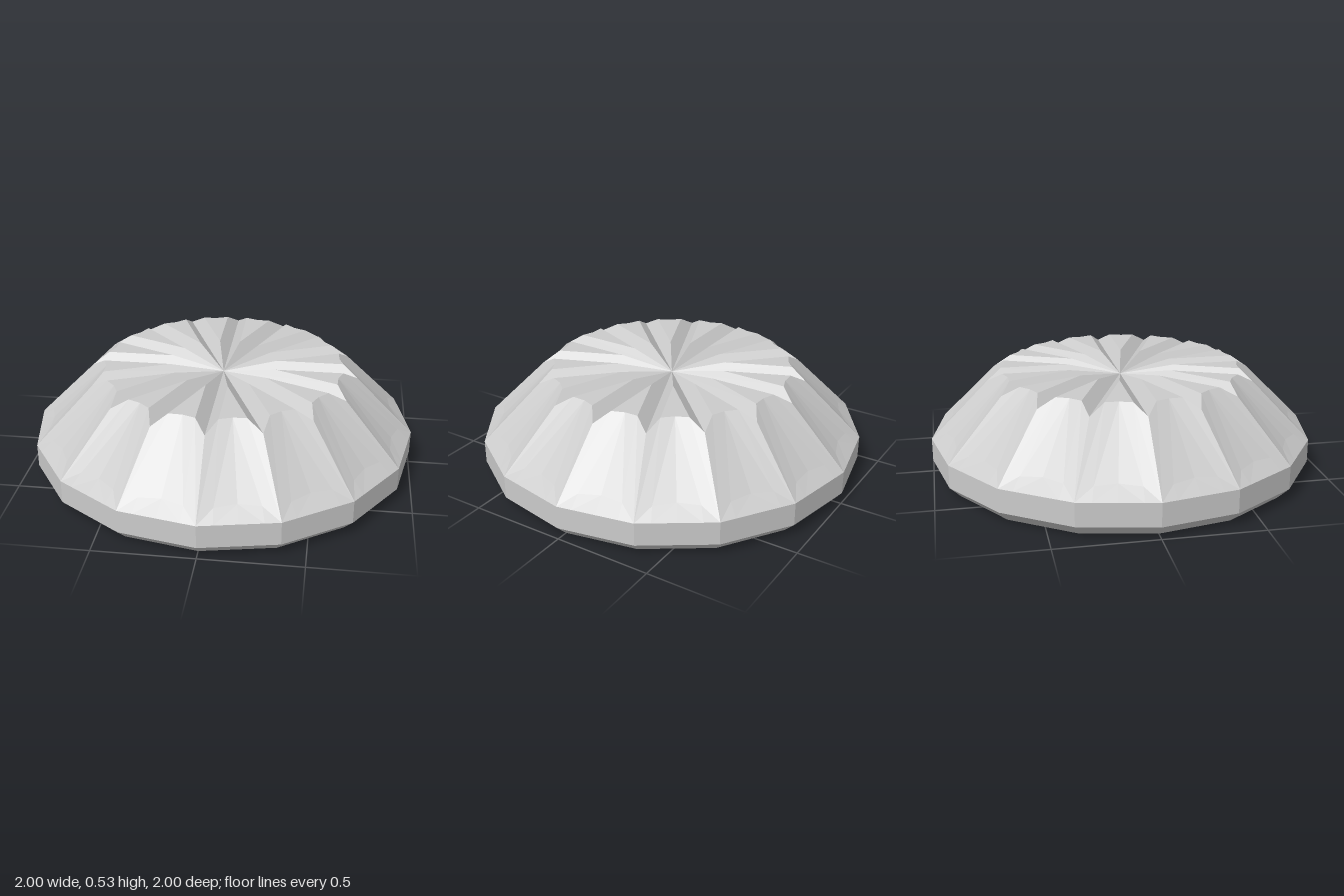
import * as THREE from 'three';

const SIDES = 16;
const HALF = Math.PI / SIDES;
const RIM_Y = 0.18, GROOVE_Y = 0.48, TOP_Y = 0.53;
const GROOVE_HALF_WIDTH = 0.055;

// Sector frame: x points outward through the middle of a side, the groove lies at angle HALF.
// r runs along the groove, w is the distance from it towards the middle of the side.
const fromGroove = (r, w, y) => new THREE.Vector3(
  r * Math.cos(HALF) + w * Math.sin(HALF), y, r * Math.sin(HALF) - w * Math.cos(HALF));
const point = (x, y, z) => new THREE.Vector3(x, y, z);

// Repeats the polygons of half a sector, mirrored and turned, around the whole disc
function radialGeometry(polygons) {
  const positions = [];
  const normal = new THREE.Vector3();
  const up = new THREE.Vector3(0, 1, 0);
  for (let i = 0; i < SIDES; i++) {
    for (const mirror of [1, -1]) {
      for (const polygon of polygons) {
        const p = polygon.map(v => point(v.x, v.y, v.z * mirror).applyAxisAngle(up, (2 * i + 1) * HALF));
        for (let k = 1; k < p.length - 1; k++) {
          const tri = [p[0], p[k], p[k + 1]];
          // every upper face looks upward
          new THREE.Triangle(...tri).getNormal(normal);
          if (normal.y < 0) tri.reverse();
          tri.forEach(v => positions.push(v.x, v.y, v.z));
        }
      }
    }
  }
  const geometry = new THREE.BufferGeometry();
  geometry.setAttribute('position', new THREE.Float32BufferAttribute(positions, 3));
  geometry.computeVertexNormals();
  return geometry;
}

export function createModel() {
  const group = new THREE.Group();
  const material = new THREE.MeshStandardMaterial({ color: 0xcccccc, flatShading: true });
  const add = (name, geometry, y = 0) => {
    const mesh = new THREE.Mesh(geometry, material);
    mesh.name = name;
    mesh.position.y = y;
    group.add(mesh);
  };

  // Bottom plate, chamfer and upright rim
  add('bottomPlate', new THREE.CircleGeometry(0.94, SIDES).rotateX(Math.PI / 2));
  add('bottomChamfer', new THREE.CylinderGeometry(1, 0.94, 0.06, SIDES, 1, true), 0.03);
  add('rim', new THREE.CylinderGeometry(1, 1, 0.12, SIDES, 1, true), 0.12);

  // Corners shared by the groove walls, wedge tops and sloping panels
  const center = point(0, GROOVE_Y, 0);
  const tip = fromGroove(0.7, 0, GROOVE_Y);
  const ridge = fromGroove(GROOVE_HALF_WIDTH / Math.tan(HALF), GROOVE_HALF_WIDTH, TOP_Y);
  const edge = fromGroove(0.625, GROOVE_HALF_WIDTH, TOP_Y);
  const middle = point(0.613, TOP_Y, 0);

  // V-shaped grooves and the flat wedges between them
  add('grooves', radialGeometry([[center, tip, edge, ridge]]));
  add('wedgeTops', radialGeometry([[ridge, edge, middle]]));

  // Sloping side panels, slightly hollowed above the rim
  const corner = fromGroove(1, 0, RIM_Y);
  const rimMiddle = point(Math.cos(HALF), RIM_Y, 0);
  const rimQuarter = corner.clone().lerp(rimMiddle, 0.4);
  const hollowMiddle = point(0.903, 0.24, 0);
  const hollowQuarter = point(0.918, 0.232, 0.112);
  add('slopingPanels', radialGeometry([
    [corner, rimQuarter, hollowQuarter],
    [rimQuarter, rimMiddle, hollowMiddle, hollowQuarter],
    [corner, hollowQuarter, edge, tip],
    [hollowQuarter, hollowMiddle, middle, edge],
  ]));
  return group;
}
